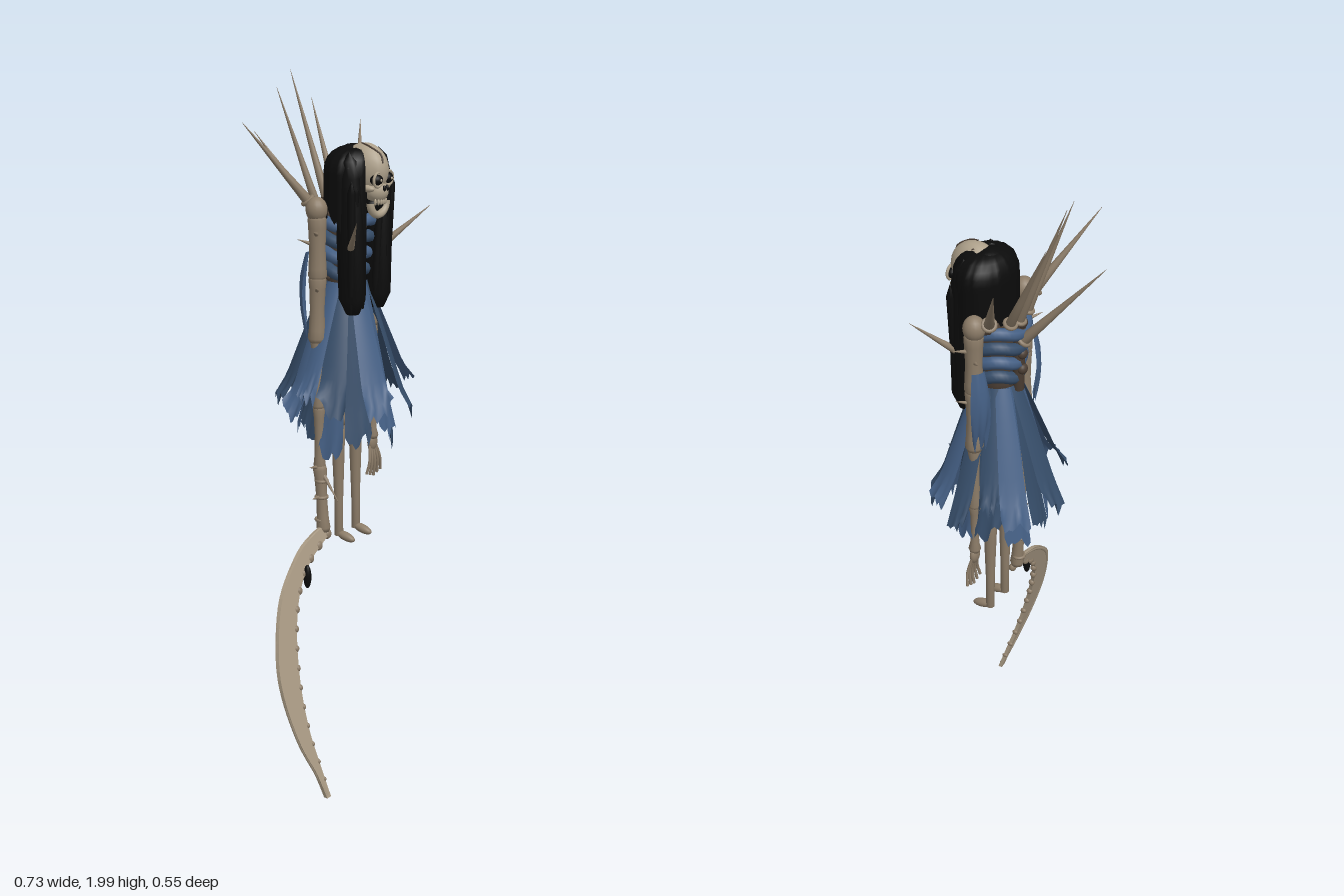
import * as THREE from 'three';

const mat = (name, color, open) => {
  const m = new THREE.MeshStandardMaterial({ color });
  m.name = name;
  if (open) m.side = THREE.DoubleSide;
  return m;
};
const V = (x, y, z) => new THREE.Vector3(x, y, z);
const CX = 0.1, CZ = 0.03; // body axis

export function createModel() {
  const bone = mat('bone', 0x8c7c68);
  const ivory = mat('pale bone', 0xada08a);
  const blade = mat('blade bone', 0xa99a84);
  const cloth = mat('blue cloth', 0x445f84, true);
  const darkCloth = mat('dark blue cloth', 0x364d69, true);
  const black = mat('black hair', 0x0b0b0b, true);
  const brown = mat('dark brown', 0x4a3d33);

  const root = new THREE.Group();
  let seed = 7;
  const rnd = () => (seed = (seed * 16807) % 2147483647) / 2147483647;

  const add = (name, geo, m, pos, scale) => {
    const mesh = new THREE.Mesh(geo, m);
    mesh.name = name;
    if (pos) mesh.position.copy(pos);
    if (scale) mesh.scale.copy(scale);
    root.add(mesh);
    return mesh;
  };
  const ball = (name, m, pos, rx, ry = rx, rz = rx) =>
    add(name, new THREE.SphereGeometry(1, 18, 12), m, pos, V(rx, ry, rz));
  // turned piece from a to b; profile holds [fraction along, radius]
  const limb = (name, m, a, b, profile) => {
    const d = b.clone().sub(a), len = d.length();
    const pts = profile.map(([t, r]) => new THREE.Vector2(r, t * len));
    const mesh = add(name, new THREE.LatheGeometry(pts, 12), m, a);
    mesh.quaternion.setFromUnitVectors(V(0, 1, 0), d.normalize());
    return mesh;
  };
  const spike = (name, a, b, r) => limb(name, bone, a, b, [[0, 0], [0, r], [0.3, r * 0.72], [1, 0.0005]]);
  const tube = (name, m, pts, r, n = 20) =>
    add(name, new THREE.TubeGeometry(new THREE.CatmullRomCurve3(pts), n, r, 6), m);
  // open sheet from f(u, v); u runs across, v runs down
  const sheet = (name, m, nu, nv, f) => {
    const pos = [], idx = [];
    for (let j = 0; j <= nv; j++) for (let i = 0; i <= nu; i++) pos.push(...f(i / nu, j / nv).toArray());
    for (let j = 0; j < nv; j++) for (let i = 0; i < nu; i++) {
      const a = j * (nu + 1) + i, b = a + nu + 1;
      idx.push(a, b, a + 1, b, b + 1, a + 1);
    }
    const g = new THREE.BufferGeometry();
    g.setAttribute('position', new THREE.Float32BufferAttribute(pos, 3));
    g.setIndex(idx);
    g.computeVertexNormals();
    return add(name, g, m);
  };

  // ---- skull ----
  ball('skull', ivory, V(CX, 1.735, 0.095), 0.05, 0.075, 0.074);
  ball('upperJaw', ivory, V(CX, 1.68, 0.135), 0.034, 0.034, 0.034);
  const jaw = add('lowerJaw', new THREE.TorusGeometry(0.037, 0.011, 8, 16, Math.PI), ivory, V(CX, 1.65, 0.142));
  jaw.rotation.z = Math.PI;
  ball('mouth', black, V(CX, 1.642, 0.13), 0.032, 0.018, 0.02);
  for (let i = -3; i <= 3; i++) {
    ball('tooth', ivory, V(CX + i * 0.008, 1.652, 0.158 - i * i * 0.001), 0.004, 0.009, 0.004);
  }
  for (const s of [-1, 1]) {
    ball('eyeSocket', black, V(CX + s * 0.024, 1.715, 0.152), 0.019, 0.016, 0.018);
    add('eyeRim', new THREE.TorusGeometry(0.02, 0.004, 6, 18), ivory, V(CX + s * 0.024, 1.715, 0.158));
    ball('eye', ivory, V(CX + s * 0.024, 1.715, 0.167), 0.005);
    ball('cheekbone', ivory, V(CX + s * 0.037, 1.69, 0.13), 0.011, 0.01, 0.024);
    ball('nostril', black, V(CX + s * 0.006, 1.69, 0.166), 0.005, 0.009, 0.005);
  }
  tube('skullCrack', brown, [V(0.09, 1.809, 0.09), V(0.085, 1.803, 0.12), V(0.092, 1.782, 0.155), V(0.088, 1.76, 0.165)], 0.0025);
  tube('skullCrack', brown, [V(0.122, 1.801, 0.085), V(0.135, 1.78, 0.11), V(0.146, 1.755, 0.11)], 0.0025);

  // ---- hair: draped shell open at the face, long at the front, short behind ----
  sheet('hairShell', black, 40, 12, (u, v) => {
    const a = 0.5 + u * (Math.PI * 2 - 1), back = (1 - Math.cos(a)) / 2;
    const wave = 1 + 0.025 * Math.sin(a * 17);
    const bottom = 1.34 + 0.27 * Math.min(1, back * 2.2) + 0.02 * Math.sin(a * 13);
    const k = Math.min(1, v / 0.4);
    const q = Math.sin(k * Math.PI / 2);
    const x = 0.036 + 0.068 * q, z = 0.03 + 0.05 * q;
    const y = v < 0.4 ? 1.735 + 0.062 * Math.cos(k * Math.PI / 2)
      : 1.735 + (bottom - 1.735) * (v - 0.4) / 0.6;
    return V(CX + Math.sin(a) * x * wave, y, 0.064 + Math.cos(a) * z * wave);
  });
  ball('hairCrown', black, V(CX, 1.725, 0.05), 0.085, 0.078, 0.062);
  for (const s of [-1, 1]) {
    const lock = limb('hairLock', black, V(CX + s * 0.058, 1.33, 0.098), V(CX + s * 0.068, 1.79, 0.09),
      [[0, 0], [0.005, 0.018], [0.1, 0.036], [0.5, 0.038], [0.85, 0.032], [0.95, 0.022], [1, 0]]);
    lock.scale.z = 1.1;
    for (let i = 0; i < 4; i++) {
      const x = CX + s * (0.03 + i * 0.017);
      limb('hairStrand', black, V(x, 1.325 + rnd() * 0.05, 0.11), V(x + s * 0.012, 1.72, 0.118),
        [[0, 0.002], [0.15, 0.011], [0.9, 0.012], [1, 0]]);
    }
  }

  // ---- torso ----
  limb('torsoCore', brown, V(CX, 1.37, CZ), V(CX, 1.63, CZ), [[0, 0.05], [0.3, 0.045], [0.8, 0.06], [1, 0.03]]);
  limb('neck', bone, V(CX, 1.6, CZ), V(CX, 1.7, 0.06), [[0, 0.024], [1, 0.022]]);
  for (let i = 0; i < 4; i++) {
    const y = 1.445 + i * 0.047, w = 0.06 + i * 0.006;
    const pts = Array.from({ length: 16 }, (_, k) => {
      const a = k / 16 * Math.PI * 2;
      return V(CX + Math.sin(a) * w, y + 0.008 * Math.cos(a * 3), CZ - 0.002 + Math.cos(a) * w * 0.95);
    });
    const band = new THREE.TubeGeometry(new THREE.CatmullRomCurve3(pts, true), 40, 0.018, 8, true);
    add('ribBand', band, i % 2 ? cloth : darkCloth);
    ball('vertebra', brown, V(CX, y + 0.022, -0.048), 0.017, 0.016, 0.014);
  }
  limb('spine', brown, V(CX, 1.4, -0.035), V(CX, 1.64, -0.04), [[0, 0], [0, 0.016], [1, 0.018], [1, 0]]);
  tube('collarbone', brown, [V(-0.02, 1.62, 0.02), V(0.05, 1.6, 0), V(0.15, 1.6, 0), V(0.22, 1.62, 0.02)], 0.013);
  limb('hips', brown, V(CX, 1.33, CZ), V(CX, 1.42, CZ), [[0, 0], [0, 0.05], [1, 0.058]]);

  // ---- back, shoulder and chest spikes: base xyz, tip xyz, radius ----
  for (const [x, y, z, tx, ty, tz, r] of [
    [-0.01, 1.65, -0.022, -0.138, 1.87, -0.15, 0.015],
    [0.218, 1.65, -0.018, 0.36, 1.825, -0.12, 0.015],
    [0.05, 1.62, -0.035, 0.012, 1.95, -0.15, 0.013],
    [0.11, 1.62, -0.045, 0.127, 1.985, -0.195, 0.014],
    [0.14, 1.62, -0.035, 0.204, 1.9, -0.18, 0.014],
    [0.105, 1.56, -0.055, 0.06, 1.81, -0.275, 0.016],
    [0.025, 1.51, 0.1, -0.063, 1.62, 0.19, 0.012],
    [0.178, 1.51, 0.1, 0.275, 1.62, 0.195, 0.012]]) {
    const a = V(x, y, z), b = V(tx, ty, tz);
    spike('longSpike', a, b, r);
    const ring = add('spikeSocket', new THREE.TorusGeometry(r * 1.1, 0.006, 8, 16), bone, a);
    ring.lookAt(b);
  }

  // ---- arms: bone segments with knobbed ends; w is the relative waist ----
  const knob = (r, w = 0.62) => [[0, 0], [0.02, r * 0.8], [0.08, r], [0.2, r * (w + 0.1)], [0.5, r * w], [0.8, r * (w + 0.1)], [0.92, r], [0.98, r * 0.8], [1, 0]];
  for (const s of [-1, 1]) {
    const x = CX + s * 0.127;
    ball('shoulder', bone, V(x, 1.632, 0.023), 0.031, 0.036, 0.031);
    limb('upperArm', bone, V(x, 1.43, 0.027), V(x, 1.62, 0.025), knob(0.027, 0.85));
    limb('elbow', bone, V(x + s * 0.004, 1.25, 0.027), V(x, 1.45, 0.027), knob(0.026, 0.8));
    limb('forearm', bone, V(x, 1.05, 0.032), V(x + s * 0.004, 1.27, 0.027), knob(0.019, 0.7));
    // sleeve plate standing off the outer back of the arm
    sheet('sleeve', cloth, 8, 6, (u, v) => {
      const a = 0.3 + u * 1.5, r = 0.028 + 0.017 * Math.sin(v * Math.PI);
      return V(x + s * (0.004 + Math.cos(a) * r), 1.51 - v * (0.22 + 0.03 * Math.sin(u * 14)), 0.022 - Math.sin(a) * r);
    });
    for (const [y, dx, dz] of [[1.56, 0.055, 0.03], [1.53, 0.04, -0.04], [1.4, 0.045, 0.03]]) {
      spike('armThorn', V(x, y, 0.027), V(x + s * dx, y + 0.02, 0.027 + dz), 0.009);
    }
  }

  // ---- left hand ----
  limb('leftWrist', bone, V(0.227, 0.9, 0.035), V(0.227, 1.07, 0.032), knob(0.018));
  ball('leftPalm', bone, V(0.227, 0.89, 0.035), 0.02, 0.026, 0.012);
  for (let i = 0; i < 5; i++) {
    const e = (i - 2) / 2;
    tube('leftFinger', bone, [V(0.227 + e * 0.014, 0.885, 0.035), V(0.227 + e * 0.026, 0.835, 0.045),
      V(0.227 + e * 0.034, 0.785 + Math.abs(e) * 0.012, 0.04)], 0.0045, 8);
  }

  // ---- right arm runs on as the scythe shaft ----
  limb('shaftUpper', bone, V(-0.027, 0.87, 0.035), V(-0.027, 1.07, 0.032), knob(0.018, 0.75));
  limb('shaftLower', bone, V(-0.027, 0.68, 0.05), V(-0.027, 0.89, 0.035), knob(0.021, 0.75));
  for (const y of [0.72, 0.79, 0.84]) {
    const ring = add('shaftRing', new THREE.TorusGeometry(0.016, 0.005, 8, 16), bone, V(-0.027, y, 0.042));
    ring.rotation.x = Math.PI / 2;
  }
  spike('shaftThorn', V(-0.027, 0.88, 0.035), V(-0.075, 0.89, 0.035), 0.008);
  spike('shaftThorn', V(-0.027, 0.79, 0.04), V(-0.075, 0.795, 0.045), 0.008);
  spike('shaftThorn', V(-0.027, 0.87, 0.04), V(-0.03, 0.79, 0.105), 0.008);

  // ---- scythe blade: crescent sheared forward as it drops ----
  const slant = (y) => 0.268 - 0.31 * y;
  const outer = [[-0.02, 0.705], [-0.09, 0.69], [-0.17, 0.655], [-0.28, 0.56], [-0.348, 0.42], [-0.364, 0.31], [-0.345, 0.175], [-0.31, 0.08], [-0.292, 0]];
  const inner = [[-0.275, 0], [-0.287, 0.1], [-0.296, 0.2], [-0.286, 0.33], [-0.25, 0.465], [-0.195, 0.565], [-0.12, 0.63], [-0.02, 0.675]];
  const smooth = (pts, n) => new THREE.SplineCurve(pts.map((p) => new THREE.Vector2(...p))).getSpacedPoints(n);
  const bladeGeo = new THREE.ExtrudeGeometry(new THREE.Shape([...smooth(outer, 36), ...smooth(inner, 36)]), { depth: 0.012, bevelEnabled: false });
  const bp = bladeGeo.attributes.position;
  for (let i = 0; i < bp.count; i++) bp.setZ(i, bp.getZ(i) - 0.006 + slant(bp.getY(i)));
  bladeGeo.computeVertexNormals();
  add('scytheBlade', bladeGeo, blade);
  tube('bladeSpine', blade, outer.map(([x, y]) => V(x + 0.006, Math.max(0.008, y - 0.004), slant(y))), 0.007, 40);
  smooth(inner, 15).forEach((p, i) => {
    if (i > 0) ball('bladeTooth', bone, V(p.x, p.y, slant(p.y)), 0.005 + i * 0.0006, 0.006 + i * 0.0006, 0.01);
  });
  ball('bladeTassel', black, V(-0.153, 0.592, 0.09), 0.011, 0.036, 0.012);

  // ---- legs ----
  for (const s of [-1, 1]) {
    const x = CX + s * 0.041;
    limb('thigh', bone, V(x, 0.98, 0.035), V(x, 1.36, CZ), knob(0.026));
    limb('shin', bone, V(x, 0.64, 0.04), V(x, 1.0, 0.035), [[0, 0], [0.01, 0.013], [0.3, 0.013], [0.7, 0.018], [0.95, 0.021], [1, 0]]);
    const foot = ball('foot', bone, V(x, 0.645, 0.065), 0.014, 0.013, 0.034);
    foot.rotation.x = 0.2;
  }

  // ---- skirt of torn strips: end x, end z, end y, end width ----
  const strip = (ex, ez, ey, w, m) => {
    const a = Math.atan2(ex - CX, ez - CZ), r1 = Math.hypot(ex - CX, ez - CZ);
    const jag = Array.from({ length: 9 }, () => rnd() * 0.05);
    const lean = (rnd() - 0.5) * 0.08;
    sheet('skirtStrip', m, 8, 10, (u, v) => {
      const s = u * 2 - 1;
      const half = 0.02 + (w / 2 - 0.02) * Math.pow(v, 0.8);
      const r = 0.057 + (r1 - 0.057) * Math.pow(v, 0.95) + 0.005 * (1 - s * s);
      const tear = jag[Math.round(u * 8)] + Math.max(0, s * lean);
      const y = 1.415 + (ey - 1.415) * v + (v > 0.75 ? tear * (v - 0.75) / 0.25 : 0);
      return V(CX + Math.sin(a) * r + Math.cos(a) * s * half, y, CZ + Math.cos(a) * r - Math.sin(a) * s * half);
    });
  };
  [[-0.12, 0, 1.02, 0.065], [-0.075, -0.075, 1.05, 0.075], [0.02, -0.115, 1.0, 0.085], [0.115, -0.168, 1.03, 0.08],
    [0.255, -0.12, 1.03, 0.085], [0.322, 0.035, 1.02, 0.06], [0.295, 0.115, 1.06, 0.07], [0.195, 0.195, 1.0, 0.08],
    [0.02, 0.215, 1.03, 0.09], [-0.08, 0.115, 1.05, 0.085], [-0.115, 0.05, 1.08, 0.055], [0.27, -0.04, 1.06, 0.06]
  ].forEach(([x, z, y, w], i) => strip(x, z, y, w, i % 2 ? darkCloth : cloth));
  for (let i = 0; i < 10; i++) {
    const a = i / 10 * Math.PI * 2, r = i === 0 ? 0.155 : 0.135;
    strip(CX + Math.sin(a) * r, CZ + Math.cos(a) * r, i === 0 ? 0.96 : 0.9 + rnd() * 0.06, 0.08, i % 2 ? darkCloth : cloth);
  }
  return root;
}
